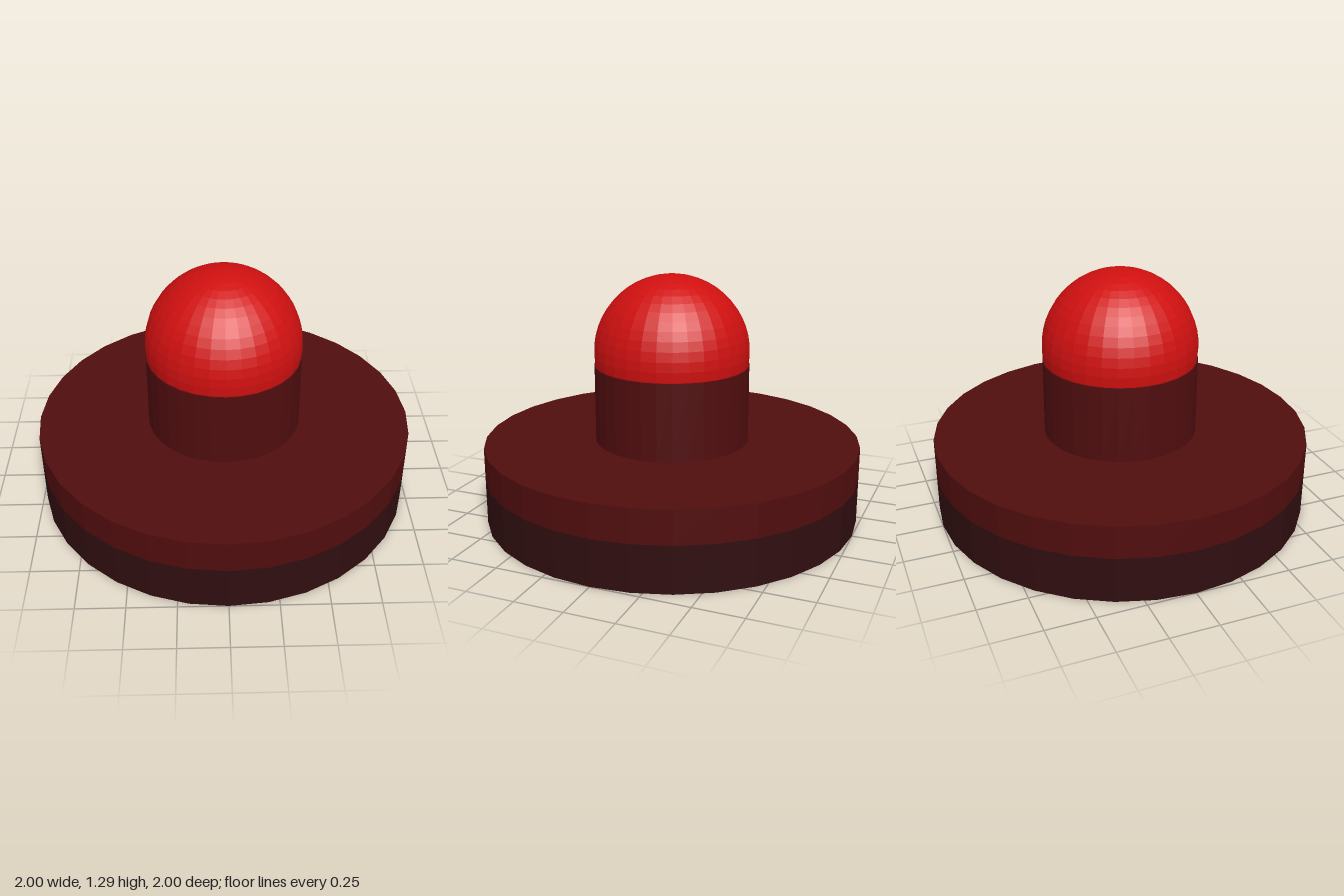
import * as THREE from 'three';

const flat = (name, color) => {
  const m = new THREE.MeshStandardMaterial({ color, flatShading: true });
  m.name = name;
  return m;
};

export function createModel() {
  const group = new THREE.Group();
  group.name = 'pushButton';

  const black = flat('darkMaroon', 0x300e10);
  const maroon = flat('maroon', 0x500d0e);
  const red = flat('brightRed', 0xd01010);

  const add = (name, geometry, material, y) => {
    const mesh = new THREE.Mesh(geometry, material);
    mesh.name = name;
    mesh.position.y = y;
    group.add(mesh);
  };
  const disc = (name, radius, y0, y1, material) =>
    add(name, new THREE.CylinderGeometry(radius, radius, y1 - y0, 32), material, (y0 + y1) / 2);

  // Two-tone round base
  disc('lowerBase', 1, 0, 0.24, black);
  disc('upperBase', 1, 0.24, 0.413, maroon);

  // Post carrying the button
  disc('post', 0.41, 0.413, 0.82, maroon);

  // Rounded button, its lower end sunk into the post
  add('buttonDome', new THREE.SphereGeometry(0.41, 32, 16, 0, Math.PI * 2, 0, Math.PI * 0.625), red, 0.885);

  return group;
}
